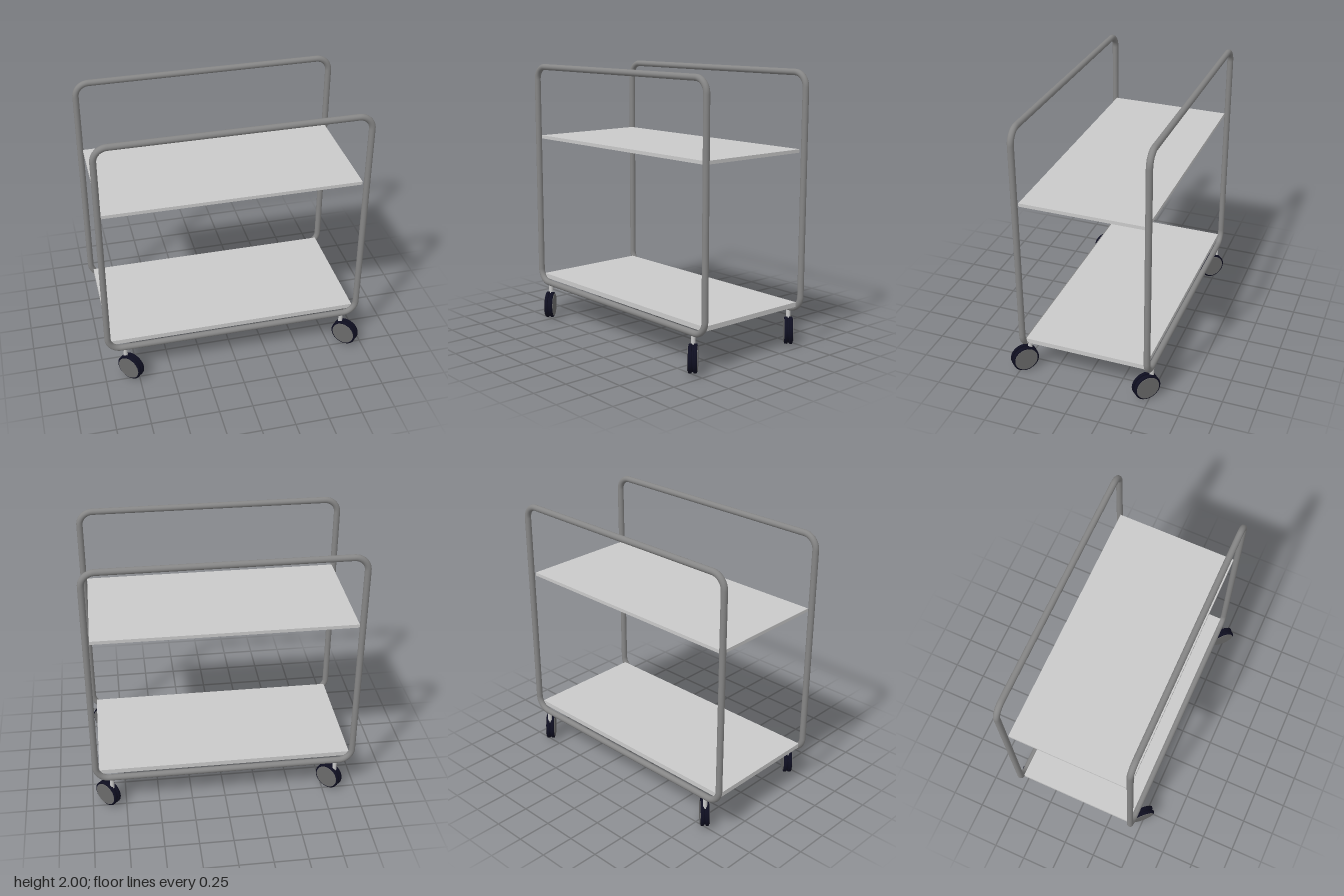
import * as THREE from 'three';

const mat = (name, color, side = THREE.FrontSide) => {
  const m = new THREE.MeshStandardMaterial({ color, side });
  m.name = name;
  return m;
};

export function createModel() {
  const steel = mat('frame grey', 0x868686);
  const panel = mat('shelf light grey', 0xcacaca);
  const rubber = mat('tyre dark navy', 0x0e0e20);
  const hub = mat('hub grey', 0x6a6a6a);

  const model = new THREE.Group();
  model.name = 'servingTrolley';

  const add = (parent, name, geometry, material, x = 0, y = 0, z = 0) => {
    const mesh = new THREE.Mesh(geometry, material);
    mesh.name = name;
    mesh.position.set(x, y, z);
    parent.add(mesh);
    return mesh;
  };

  // Side frames: closed tube loops with rounded corners
  const R = 0.023, bend = 0.1, halfW = 0.962, low = 0.263, high = 1.977;
  const midY = (low + high) / 2, halfH = (high - low) / 2;
  const rail = new THREE.CylinderGeometry(R, R, 2 * (halfW - bend), 20, 1, true).rotateZ(Math.PI / 2);
  const post = new THREE.CylinderGeometry(R, R, 2 * (halfH - bend), 20, 1, true);
  const corner = new THREE.TorusGeometry(bend, R, 20, 14, Math.PI / 2);

  const makeFrame = (name, z) => {
    const frame = new THREE.Group();
    frame.name = name;
    frame.position.set(0, midY, z);
    add(frame, 'topRail', rail, steel, 0, halfH);
    add(frame, 'bottomRail', rail, steel, 0, -halfH);
    add(frame, 'leftPost', post, steel, halfW);
    add(frame, 'rightPost', post, steel, -halfW);
    [[1, 1], [-1, 1], [-1, -1], [1, -1]].forEach(([sx, sy], i) => {
      const c = add(frame, 'cornerBend', corner, steel, sx * (halfW - bend), sy * (halfH - bend));
      c.rotation.z = i * Math.PI / 2;
    });
    model.add(frame);
  };
  const frontZ = 0.444, backZ = -0.502;
  makeFrame('frontFrame', frontZ);
  makeFrame('backFrame', backZ);

  // Shelves spanning between the frames
  const shelf = (name, bottom, top) =>
    add(model, name, new THREE.BoxGeometry(1.88, top - bottom, 0.91), panel,
      -0.004, (top + bottom) / 2, -0.028);
  shelf('upperShelf', 1.415, 1.44);
  shelf('lowerShelf', 0.287, 0.322);

  // Casters: twin tyres with hub caps, swivelled 45 degrees and trailing the stem
  const tyreProfile = [
    [0, -0.013], [0.095, -0.013], [0.1, -0.009], [0.1, 0.009], [0.09, 0.013], [0, 0.013],
  ].map(([r, y]) => new THREE.Vector2(r, y));
  const tyre = new THREE.LatheGeometry(tyreProfile, 32).rotateX(Math.PI / 2);
  const core = new THREE.CylinderGeometry(0.09, 0.09, 0.02, 32).rotateX(Math.PI / 2);
  const cap = new THREE.CylinderGeometry(0.087, 0.087, 0.008, 32).rotateX(Math.PI / 2);
  const stem = new THREE.CylinderGeometry(0.016, 0.016, 0.1, 16);

  const makeCaster = (name, x, z) => {
    const caster = new THREE.Group();
    caster.name = name;
    caster.position.set(x, 0, z);
    caster.rotation.y = -Math.PI / 4;
    add(caster, 'stem', stem, panel, 0, 0.205, 0);
    const wheel = new THREE.Group();
    wheel.name = 'wheel';
    wheel.position.set(0.045, 0.1, 0);
    add(wheel, 'wheelCore', core, rubber);
    for (const s of [1, -1]) {
      const t = add(wheel, 'tyre', tyre, rubber, 0, 0, s * 0.018);
      if (s < 0) t.rotation.y = Math.PI;
      add(wheel, 'hubCap', cap, hub, 0, 0, s * 0.031);
    }
    caster.add(wheel);
    model.add(caster);
  };
  for (const [end, z] of [['front', frontZ], ['back', backZ]]) {
    makeCaster(end + 'LeftCaster', 0.849, z);
    makeCaster(end + 'RightCaster', -0.837, z);
  }

  return model;
}
